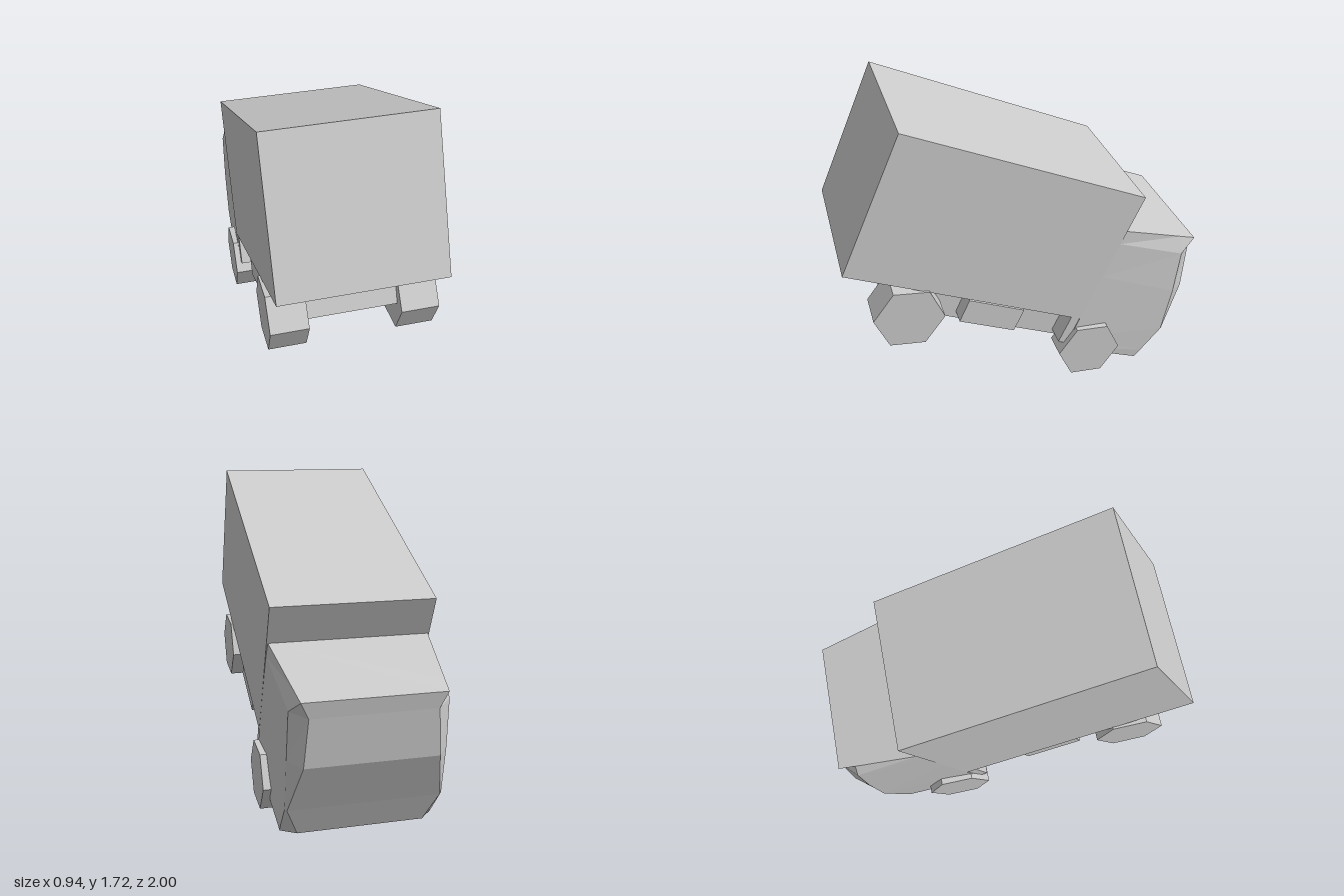
import * as THREE from 'three';

const gray = new THREE.MeshStandardMaterial({ color: 0xcccccc, flatShading: true });
gray.name = 'light gray';

// Box given by its limits: x across, y up, z towards the tail
function block(name, x0, x1, y0, y1, z0, z1) {
  const g = new THREE.BoxGeometry(x1 - x0, y1 - y0, z1 - z0);
  g.translate((x0 + x1) / 2, (y0 + y1) / 2, (z0 + z1) / 2);
  const m = new THREE.Mesh(g, gray);
  m.name = name;
  return m;
}

// Six-sided wheel with its axle along x
function wheel(name, x0, x1, y, z, r, turn) {
  const g = new THREE.CylinderGeometry(r, r, x1 - x0, 6);
  g.rotateZ(Math.PI / 2);
  const m = new THREE.Mesh(g, gray);
  m.position.set((x0 + x1) / 2, y, z);
  m.rotation.x = turn;
  m.name = name;
  return m;
}

// Cab: mirrored six-point loops, bottom to top, each as [rear, side corner, front corner]
function cab() {
  const levels = [
    [[0.427, 0.275, -0.1], [0.4, 0.273, -0.606], [0.33, 0.273, -0.615]],
    [[0.427, 0.35, -0.1], [0.403, 0.329, -0.622], [0.33, 0.329, -0.682]],
    [[0.427, 0.503, -0.1], [0.405, 0.503, -0.67], [0.395, 0.503, -0.68]],
    [[0.427, 0.78, -0.1], [0.405, 0.77, -0.604], [0.34, 0.789, -0.684]],
    [[0.424, 1.0, -0.1], [0.4, 1.015, -0.526], [0.32, 1.03, -0.605]],
    [[0.42, 1.081, -0.1], [0.373, 1.105, -0.48], [0.36, 1.112, -0.582]],
  ];
  const pos = [], idx = [], n = 6;
  for (const l of levels) {
    for (const p of l) pos.push(...p);
    for (const p of [...l].reverse()) pos.push(-p[0], p[1], p[2]);
  }
  for (let j = 0; j < levels.length - 1; j++) {
    for (let i = 0; i < n; i++) {
      const a = j * n + i, b = j * n + (i + 1) % n, c = b + n, d = a + n;
      idx.push(a, b, c, a, c, d);
    }
  }
  const top = (levels.length - 1) * n;
  for (let i = 1; i < n - 1; i++) {
    idx.push(0, i + 1, i);
    idx.push(top, top + i, top + i + 1);
  }
  const indexed = new THREE.BufferGeometry();
  indexed.setAttribute('position', new THREE.Float32BufferAttribute(pos, 3));
  indexed.setIndex(idx);
  const g = indexed.toNonIndexed();
  g.computeVertexNormals();
  const m = new THREE.Mesh(g, gray);
  m.name = 'cab';
  return m;
}

export function createModel() {
  const truck = new THREE.Group();
  truck.name = 'truck';
  truck.add(block('cargoBox', -0.4275, 0.4275, 0.487, 1.301, -0.1, 1.296));
  truck.add(block('chassis', -0.31, 0.31, 0.28, 0.487, -0.55, 0.982));
  truck.add(cab());

  // Parts repeated on both sides
  for (const s of [1, -1]) {
    const side = s > 0 ? 'left' : 'right';
    const span = (a, b) => (s > 0 ? [a, b] : [-b, -a]);
    truck.add(block(side + 'SideTank', ...span(0.3, 0.4), 0.32, 0.462, 0.241, 0.576));
    truck.add(block(side + 'Mudguard', ...span(0.3, 0.422), 0.307, 0.486, -0.14, -0.048));
    truck.add(wheel(side + 'CabWheel', ...span(0.31, 0.455), 0.307, -0.243, 0.182, 0.34));
    truck.add(wheel(side + 'TailWheel', ...span(0.24, 0.44), 0.312, 0.872, 0.19, 0.3));
  }

  // Nose-down pose with a slight turn
  truck.rotation.order = 'YXZ';
  truck.rotation.set(-0.4224, 0.036, 0);

  const model = new THREE.Group();
  model.name = 'tiltedTruck';
  model.add(truck);
  return model;
}
